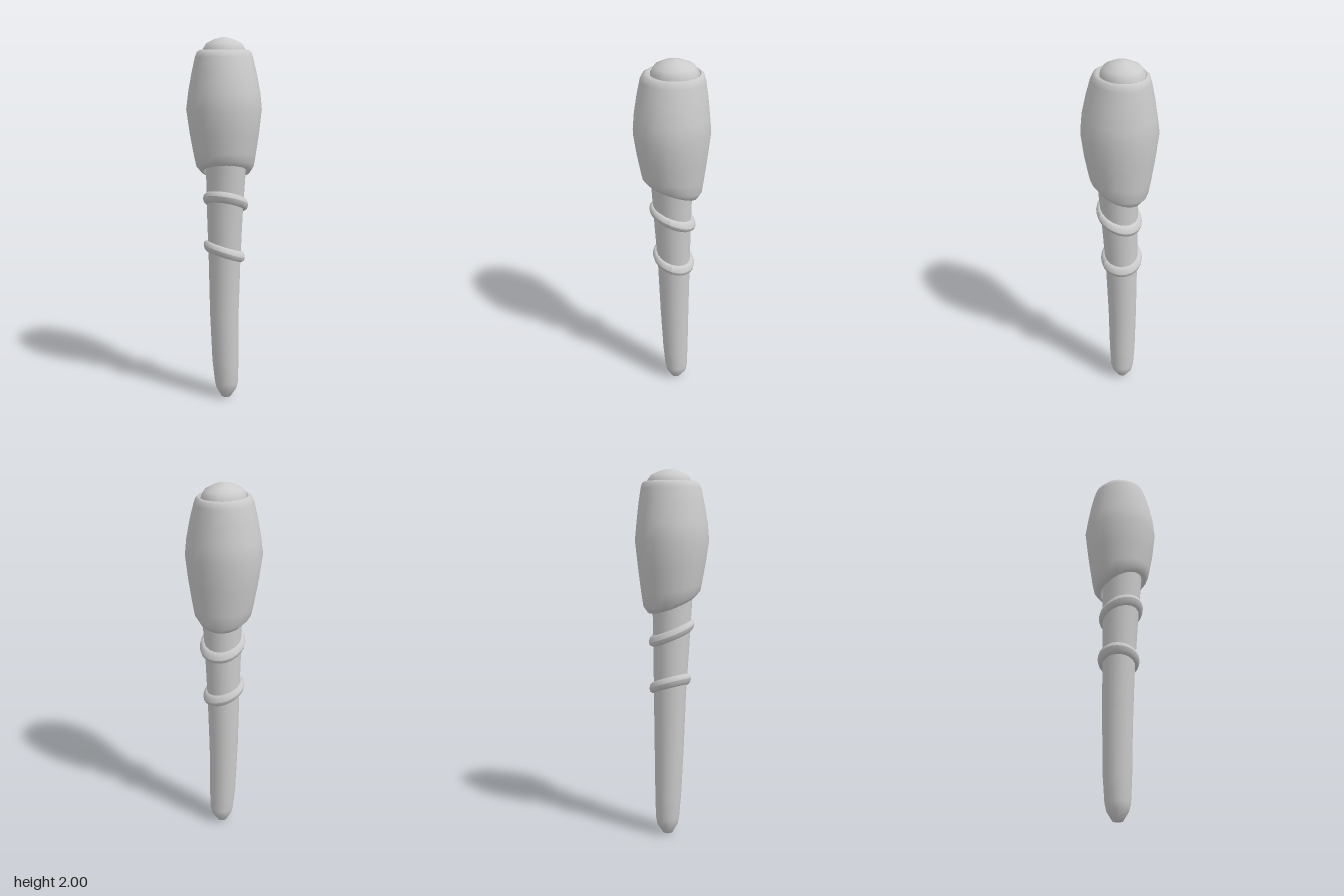
import * as THREE from 'three';

const material = new THREE.MeshStandardMaterial({ color: 0xcccccc, side: THREE.DoubleSide });

// Skin a closed tube through oval sections: [y, xMin, xMax, zMin, zMax, tiltX, tiltZ]
function loft(name, rows, sides) {
  const positions = [], index = [];
  rows.forEach(([y, x0, x1, z0, z1, tiltX = 0, tiltZ = 0], i) => {
    for (let j = 0; j < sides; j++) {
      const a = (j / sides) * Math.PI * 2;
      const x = (x0 + x1) / 2 + Math.cos(a) * (x1 - x0) / 2;
      const z = (z0 + z1) / 2 + Math.sin(a) * (z1 - z0) / 2;
      positions.push(x, y + tiltX * x + tiltZ * z, z);
      if (i === rows.length - 1) continue;
      const p = i * sides + j, q = i * sides + (j + 1) % sides;
      index.push(p, p + sides, q, q, p + sides, q + sides);
    }
  });
  const geometry = new THREE.BufferGeometry();
  geometry.setAttribute('position', new THREE.Float32BufferAttribute(positions, 3));
  geometry.setIndex(index);
  geometry.computeVertexNormals();
  const mesh = new THREE.Mesh(geometry, material);
  mesh.name = name;
  return mesh;
}

// A band wrapped round the shaft, sheared so that it sits at a slant
function band(name, [cx, cy, cz], radiusX, radiusZ, tiltX, tiltZ) {
  const geometry = new THREE.TorusGeometry(1, 0.24, 10, 24);
  geometry.rotateX(Math.PI / 2);
  geometry.scale(radiusX, 0.13, radiusZ);
  const p = geometry.attributes.position;
  for (let i = 0; i < p.count; i++) {
    p.setY(i, p.getY(i) + tiltX * p.getX(i) + tiltZ * p.getZ(i));
  }
  geometry.translate(cx, cy, cz);
  geometry.computeVertexNormals();
  const mesh = new THREE.Mesh(geometry, material);
  mesh.name = name;
  return mesh;
}

export function createModel() {
  const group = new THREE.Group();
  group.name = 'club';

  // Tapering, slightly leaning shaft with a blunt rounded tip
  group.add(loft('shaft', [
    [0.00, -0.005, -0.005, -0.025, -0.025],
    [0.002, -0.03, 0.025, -0.052, 0.002],
    [0.05, -0.058, 0.055, -0.085, 0.03],
    [0.09, -0.068, 0.066, -0.092, 0.038],
    [0.22, -0.08, 0.07, -0.094, 0.05],
    [0.50, -0.088, 0.072, -0.096, 0.065],
    [0.80, -0.091, 0.083, -0.100, 0.076],
    [1.05, -0.094, 0.098, -0.103, 0.091],
    [1.40, -0.096, 0.125, -0.112, 0.110],
  ], 18));

  // Slanted bands
  group.add(band('lowerBand', [-0.005, 0.858, -0.01], 0.091, 0.092, -0.18, 0.3));
  group.add(band('upperBand', [0.007, 1.135, -0.005], 0.098, 0.1, 0.1, 0.4));

  // Swollen head, its lower rim slanted and its upper rim rolled inwards
  group.add(loft('head', [
    [1.36, -0.09, 0.115, -0.105, 0.105, 0.25, 0.38],
    [1.30, -0.098, 0.122, -0.115, 0.112, 0.25, 0.38],
    [1.295, -0.115, 0.138, -0.135, 0.13, 0.24, 0.33],
    [1.325, -0.145, 0.158, -0.157, 0.152, 0.2, 0.25],
    [1.38, -0.16, 0.167, -0.167, 0.16, 0.12, 0.14],
    [1.50, -0.182, 0.186, -0.183, 0.18, 0.05, 0.06],
    [1.63, -0.20, 0.20, -0.198, 0.197],
    [1.72, -0.187, 0.19, -0.19, 0.189],
    [1.82, -0.168, 0.166, -0.179, 0.173],
    [1.90, -0.149, 0.142, -0.167, 0.156],
    [1.925, -0.14, 0.132, -0.16, 0.145],
    [1.937, -0.127, 0.118, -0.147, 0.125],
    [1.932, -0.117, 0.106, -0.137, 0.11],
    [1.90, -0.11, 0.10, -0.13, 0.10],
  ], 20));

  // Domed end rising out of the head
  group.add(loft('endKnob', [
    [1.88, -0.122, 0.104, -0.137, 0.107],
    [1.935, -0.121, 0.103, -0.136, 0.106],
    [1.968, -0.10, 0.084, -0.112, 0.086],
    [1.988, -0.06, 0.045, -0.068, 0.046],
    [1.997, -0.03, 0.015, -0.036, 0.012],
    [2.00, -0.008, -0.008, -0.012, -0.012],
  ], 16));

  return group;
}
